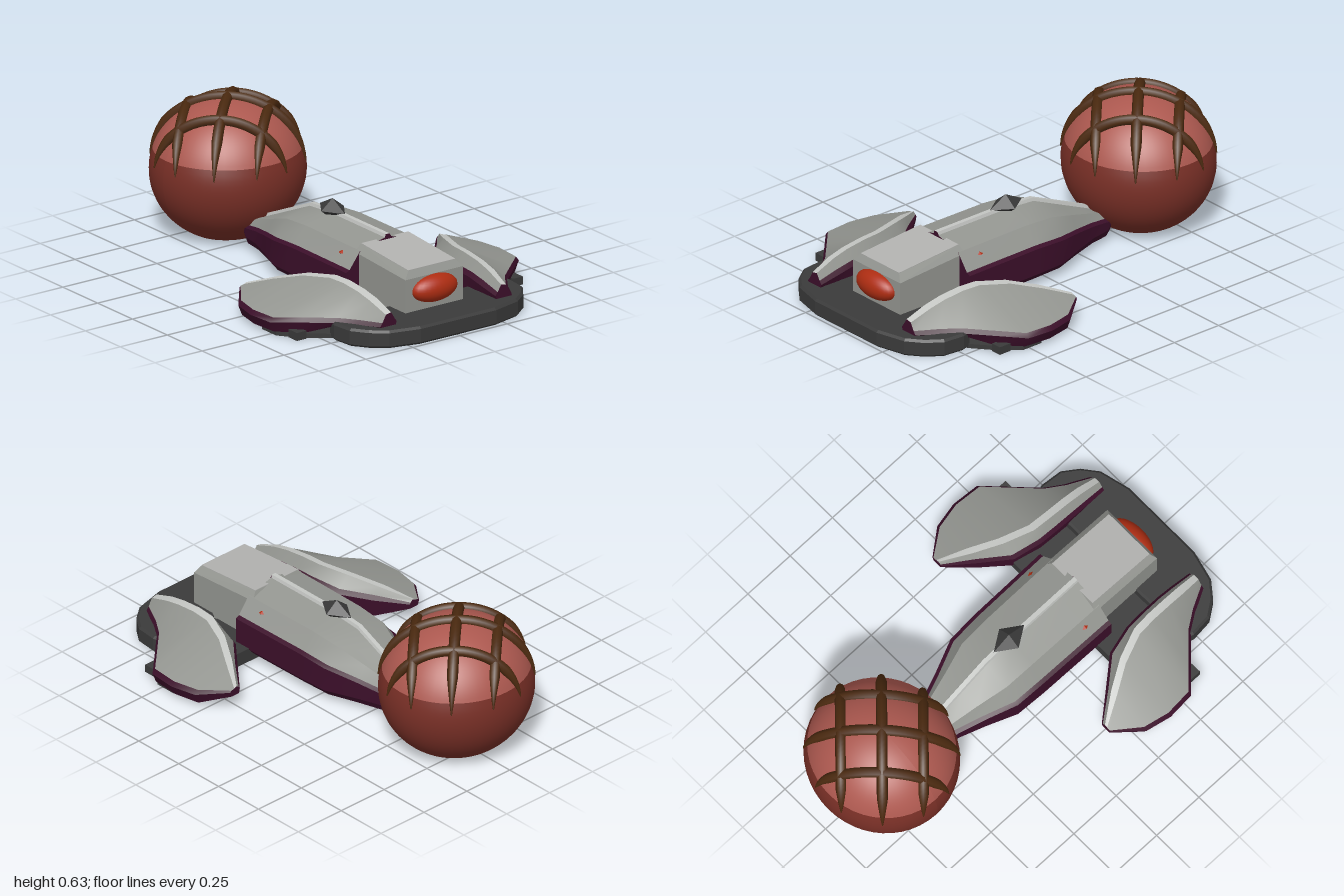
import * as THREE from 'three';
import { ConvexGeometry } from 'three/addons/geometries/ConvexGeometry.js';

const material = (name, color) => {
  const m = new THREE.MeshStandardMaterial({ color });
  m.name = name;
  return m;
};

export function createModel() {
  const grey = material('hull grey', 0x949691);
  const pale = material('pale trim', 0xc4c6c3);
  const light = material('roof grey', 0xb2b2b0);
  const purple = material('dark purple', 0x3c0f2a);
  const dark = material('charcoal', 0x3a3a3a);
  const orange = material('burnt orange', 0xae2d12);
  const red = material('ball red', 0xac584f);
  const maroon = material('ball maroon', 0x782f26);
  const brown = material('strap brown', 0x4a290f);

  const model = new THREE.Group();
  model.name = 'hoverSled';
  const add = (name, geometry, mat, parent = model) => {
    const mesh = new THREE.Mesh(geometry, mat);
    mesh.name = name;
    parent.add(mesh);
    return mesh;
  };

  // Skin over cross-sections: one strip per column, sharp between strips, plus flat end caps
  function loft(name, rows, mats, capMat) {
    const group = new THREE.Group();
    group.name = name;
    const n = rows[0].length;
    for (let c = 0; c < n; c++) {
      const pos = [], idx = [];
      rows.forEach((r, k) => {
        pos.push(...r[c], ...r[(c + 1) % n]);
        if (k) {
          const a = 2 * k - 2;
          idx.push(a, a + 1, a + 2, a + 1, a + 3, a + 2);
        }
      });
      const g = new THREE.BufferGeometry();
      g.setAttribute('position', new THREE.Float32BufferAttribute(pos, 3));
      g.setIndex(idx);
      g.computeVertexNormals();
      add(name + 'Strip', g, mats[c], group);
    }
    [rows[0].slice().reverse(), rows[rows.length - 1]].forEach((r) => {
      const idx = [];
      for (let i = 1; i < n - 1; i++) idx.push(0, i, i + 1);
      const g = new THREE.BufferGeometry();
      g.setAttribute('position', new THREE.Float32BufferAttribute(r.flat(), 3));
      g.setIndex(idx);
      g.computeVertexNormals();
      add(name + 'Cap', g, capMat, group);
    });
    model.add(group);
  }

  // Flat slab from half an outline of [x, z] points, mirrored across x = 0
  function slab(name, half, height, bevel) {
    const outline = [...half, ...half.slice().reverse().map(([x, z]) => [-x, z])];
    const shape = new THREE.Shape(outline.map(([x, z]) => new THREE.Vector2(x, -z)));
    const g = new THREE.ExtrudeGeometry(shape, {
      depth: height - bevel, bevelEnabled: bevel > 0, bevelThickness: bevel,
      bevelSize: bevel, bevelOffset: -bevel, bevelSegments: 1,
    });
    g.rotateX(-Math.PI / 2);
    g.computeBoundingBox();
    g.translate(0, -g.boundingBox.min.y, 0);
    add(name, g, dark);
  }

  // Base
  slab('frontSkid', [[0.46, 0.69], [0.47, 0.73], [0.46, 0.83], [0.41, 0.9], [0.34, 0.955], [0.2, 0.99]], 0.07, 0.01);
  slab('rearSkid', [[0.55, 0.4], [0.63, 0.43], [0.63, 0.53], [0.57, 0.61], [0.46, 0.7]], 0.02, 0);
  slab('skidDeck', [[0.3, 0.4], [0.3, 0.67]], 0.065, 0);
  for (const s of [1, -1]) {
    add('skidLug', new THREE.BoxGeometry(0.05, 0.036, 0.06), dark).position.set(s * 0.575, 0.018, 0.61);
  }

  // Body: [z, half width, bottom, rim height, top]
  const bodyRows = [
    [-0.44, 0.085, 0.05, 0.1, 0.115],
    [-0.41, 0.095, 0.03, 0.11, 0.145],
    [-0.32, 0.11, 0.03, 0.125, 0.185],
    [-0.2, 0.152, 0.03, 0.15, 0.238],
    [-0.06, 0.208, 0.03, 0.18, 0.3],
    [0.09, 0.215, 0.03, 0.19, 0.312],
    [0.48, 0.22, 0.03, 0.19, 0.312],
  ].map(([z, w, b, rim, top]) => {
    const half = [
      [w * 0.88, b], [w, b + 0.03], [w, rim - 0.01], [w - 0.018, rim],
      [w * 0.66, rim + (top - rim) * 0.62], [0.014, top - 0.014], [0.01, top],
    ];
    return [...half, ...half.slice().reverse().map(([x, y]) => [-x, y])].map(([x, y]) => [x, y, z]);
  });
  loft('body', bodyRows, [purple, purple, purple, grey, grey, pale, pale, pale,
    grey, grey, purple, purple, purple, purple], purple);

  // Spine crystal and side eyes
  const crystal = (name, mat, size, at) => {
    const g = new THREE.OctahedronGeometry(1);
    g.scale(...size);
    add(name, g, mat).position.set(...at);
  };
  crystal('spineCrystal', dark, [0.06, 0.048, 0.09], [0, 0.312, 0.085]);
  for (const s of [1, -1]) crystal('sideEye', orange, [0.032, 0.022, 0.065], [s * 0.145, 0.232, 0.375]);

  // Head block with chamfered top, roof plate and nose
  const corners = [];
  for (const s of [1, -1]) {
    [[0.153, 0.06, 0.815], [0.153, 0.23, 0.815], [0.125, 0.262, 0.797],
      [0.153, 0.06, 0.445], [0.153, 0.255, 0.445], [0.125, 0.288, 0.46]]
      .forEach(([x, y, z]) => corners.push(new THREE.Vector3(s * x, y, z)));
  }
  add('head', new ConvexGeometry(corners), grey);
  const roof = add('roofPlate', new THREE.BoxGeometry(0.25, 0.004, 0.338), light);
  roof.position.set(0, 0.2755, 0.6285);
  roof.rotation.x = Math.atan2(0.026, 0.337);
  const nose = new THREE.SphereGeometry(1, 28, 18);
  nose.scale(0.117, 0.062, 0.06);
  add('nose', nose, orange).position.set(0, 0.167, 0.813);

  // Side fins: [z, outer x, ridge x, inner x, outer y, ridge y, inner y, bottom, edge scale]
  const fin = [
    [0.16, 0.55, 0.52, 0.495, 0.1, 0.11, 0.1, 0.07, 0.4],
    [0.28, 0.645, 0.445, 0.395, 0.087, 0.155, 0.12, 0.02, 1],
    [0.4, 0.67, 0.375, 0.295, 0.085, 0.19, 0.14, 0.02, 1],
    [0.53, 0.66, 0.325, 0.263, 0.085, 0.206, 0.155, 0.02, 1],
    [0.62, 0.565, 0.318, 0.258, 0.09, 0.206, 0.155, 0.02, 1],
    [0.72, 0.46, 0.315, 0.256, 0.095, 0.195, 0.15, 0.06, 1],
    [0.8, 0.405, 0.312, 0.257, 0.097, 0.177, 0.135, 0.068, 1],
    [0.9, 0.35, 0.305, 0.262, 0.1, 0.14, 0.11, 0.068, 0.8],
  ];
  const finMats = [purple, purple, grey, pale, grey, purple, purple, purple];
  for (const s of [1, -1]) {
    const rows = fin.map(([z, xo, xr, xi, yo, yr, yi, yb, k]) => [
      [xo - 0.02 * k, yb], [xo, yo - 0.02 * k], [xo - 0.015 * k, yo],
      [xr + 0.018 * k, yr - 0.006], [xr - 0.016 * k, yr],
      [xi + 0.015 * k, yi], [xi, yi - 0.02 * k], [xi + 0.012 * k, yb],
    ].map(([x, y]) => [s * x, y, z]));
    loft(s > 0 ? 'leftFin' : 'rightFin', s > 0 ? rows : rows.reverse(), finMats, purple);
  }

  // Ball: two-tone ellipsoid flattened where it rests
  const R = new THREE.Vector3(0.345, 0.315, 0.325), C = new THREE.Vector3(0, 0.285, -0.667);
  const seam = Math.acos((0.38 - C.y) / R.y);
  const ballPart = (name, start, length, mat) => {
    const g = new THREE.SphereGeometry(1, 48, 24, 0, Math.PI * 2, start, length);
    g.scale(R.x, R.y, R.z);
    g.translate(C.x, C.y, C.z);
    const p = g.attributes.position;
    for (let i = 0; i < p.count; i++) p.setY(i, Math.max(0, p.getY(i)));
    g.computeVertexNormals();
    add(name, g, mat);
  };
  ballPart('ballTop', 0, seam, red);
  ballPart('ballBottom', seam, Math.PI - seam, maroon);

  // Crossed straps with tapered ends, laid over the ball on diagonal planes
  for (const s of [1, -1]) {
    for (const d of [-0.52, 0, 0.52]) {
      const r = Math.sqrt(1 - d * d), end = Math.acos(0.14 / r), pts = [];
      for (let i = 0; i <= 24; i++) {
        const a = end * (i / 12 - 1), u = r * Math.sin(a);
        pts.push(new THREE.Vector3((s * (u + d)) * Math.SQRT1_2, r * Math.cos(a), (u - d) * Math.SQRT1_2)
          .multiply(R).multiplyScalar(1.01).add(C));
      }
      const curve = new THREE.CatmullRomCurve3(pts);
      const g = new THREE.TubeGeometry(curve, 40, 0.024, 8);
      const p = g.attributes.position, v = new THREE.Vector3();
      for (let i = 0; i < p.count; i++) {
        const t = Math.floor(i / 9) / 40, centre = curve.getPointAt(t);
        const taper = Math.min(1, 0.1 + 5 * Math.min(t, 1 - t));
        v.fromBufferAttribute(p, i).sub(centre).multiplyScalar(taper).add(centre);
        p.setXYZ(i, v.x, v.y, v.z);
      }
      add('strap', g, brown);
    }
  }
  return model;
}
